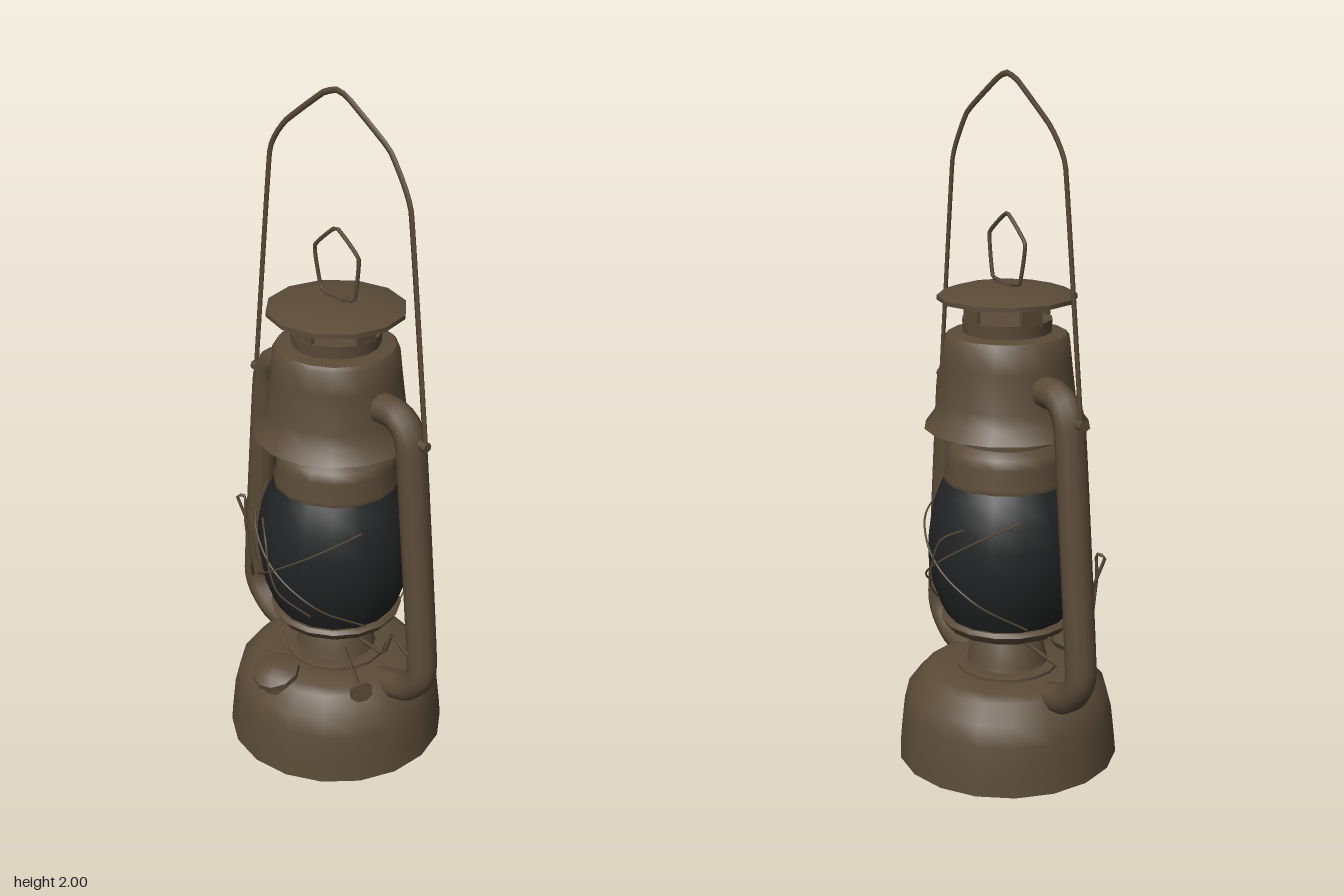
import * as THREE from 'three';
import { toCreasedNormals } from 'three/addons/utils/BufferGeometryUtils.js';

const V = (p) => new THREE.Vector3(...p);

export function createModel() {
  const lantern = new THREE.Group();
  lantern.name = 'lantern';
  const metal = new THREE.MeshStandardMaterial({ color: 0x5b4b38 });
  metal.name = 'aged brown metal';
  const glass = new THREE.MeshStandardMaterial({ color: 0x222324 });
  glass.name = 'smoked glass';

  const add = (name, geometry, material = metal, parent = lantern) => {
    const mesh = new THREE.Mesh(geometry, material);
    mesh.name = name;
    parent.add(mesh);
    return mesh;
  };
  // Turned part from [radius, y] pairs, listed from bottom to top
  const turned = (name, profile, sides = 16, material = metal, parent = lantern) => {
    const lathe = new THREE.LatheGeometry(profile.map(([r, y]) => new THREE.Vector2(r, y)), sides);
    return add(name, toCreasedNormals(lathe, 0.75), material, parent);
  };
  // Bent wire or pipe through points, with fairly tight corners
  const bent = (name, points, radius, { sides = 5, steps = 40, closed = false, tension = 0.15 } = {}) => {
    const path = new THREE.CatmullRomCurve3(points.map(V), closed, 'catmullrom', tension);
    return add(name, new THREE.TubeGeometry(path, steps, radius, sides, closed));
  };

  // Fuel tank with a shallow hollow underneath
  turned('fuelTank', [[0, 0.03], [0.29, 0.015], [0.31, 0], [0.325, 0.005], [0.32, 0.06], [0.31, 0.15],
    [0.295, 0.21], [0.25, 0.26], [0.225, 0.275], [0.15, 0.28], [0, 0.282]], 18);
  turned('burnerRing', [[0.15, 0.27], [0.15, 0.288], [0.12, 0.295], [0.11, 0.29]]);

  // Burner and globe plate
  turned('burnerCone', [[0.125, 0.28], [0.115, 0.31], [0.105, 0.37], [0.09, 0.395], [0.09, 0.42]]);
  turned('globePlate', [[0, 0.405], [0.165, 0.405], [0.18, 0.412], [0.195, 0.435], [0.185, 0.445], [0, 0.445]]);

  // Globe
  turned('globe', [[0.172, 0.435], [0.195, 0.48], [0.22, 0.55], [0.232, 0.63], [0.23, 0.70],
    [0.218, 0.77], [0.195, 0.83], [0.17, 0.875]], 16, glass);

  // Collar and hood
  turned('globeCollar', [[0, 0.855], [0.182, 0.855], [0.184, 0.87], [0.172, 0.90], [0.176, 0.925],
    [0.165, 0.95], [0.14, 0.97], [0.138, 1.04]]);
  turned('hood', [[0.13, 1.03], [0.2, 1.02], [0.238, 1.012], [0.21, 1.05], [0.198, 1.09], [0.185, 1.2],
    [0.178, 1.268], [0.168, 1.28], [0.125, 1.285]]);

  // Chimney with four posts under the cap
  turned('chimney', [[0.125, 1.275], [0.128, 1.322], [0, 1.322]]);
  for (let i = 0; i < 4; i++) {
    const pivot = new THREE.Group();
    pivot.name = 'chimneyPost';
    pivot.rotation.y = i * Math.PI / 2;
    lantern.add(pivot);
    add('postPlate', new THREE.BoxGeometry(0.068, 0.07, 0.012), metal, pivot).position.set(0, 1.347, 0.117);
  }
  turned('chimneyCap', [[0, 1.365], [0.13, 1.366], [0.197, 1.376], [0.197, 1.388], [0.15, 1.404],
    [0.07, 1.413], [0, 1.415]], 12);

  // Lifting ring on the cap
  add('ringTab', new THREE.BoxGeometry(0.075, 0.014, 0.024)).position.y = 1.417;
  bent('liftingRing', [[-0.06, 1.425, 0], [-0.088, 1.54, 0], [0, 1.615, 0], [0.088, 1.55, 0], [0.07, 1.425, 0]],
    0.006, { closed: true });

  // Side air tubes with bail lugs
  for (const s of [-1, 1]) {
    bent(s > 0 ? 'leftAirTube' : 'rightAirTube', [
      [0.14, 1.145], [0.235, 1.147], [0.275, 1.125], [0.3, 1.07], [0.335, 0.72], [0.365, 0.38],
      [0.345, 0.32], [0.295, 0.275], [0.2, 0.245],
    ].map(([x, y]) => [s * x, y, 0]), 0.044, { sides: 10, steps: 48, tension: 0.25 });
    const lug = add('bailLug', new THREE.CylinderGeometry(0.014, 0.014, 0.06, 8));
    lug.rotation.z = Math.PI / 2;
    lug.position.set(s * 0.332, 1.09, 0);
  }

  // Carrying bail, slightly flattened
  const bail = bent('carryingBail', [[-0.352, 1.08, 0], [-0.27, 1.765, 0], [-0.2, 1.865, 0], [-0.05, 1.972, 0],
    [0, 1.99, 0], [0.04, 1.98, 0], [0.2, 1.875, 0], [0.28, 1.735, 0], [0.355, 1.08, 0]], 0.009, { steps: 80 });
  bail.scale.z = 0.6;

  // Crossed guard wires in front of and behind the globe
  for (const z of [-1, 1]) {
    for (const x of [-1, 1]) {
      bent('guardWire', [[-0.205 * x, 0.79, 0.09 * z], [-0.13 * x, 0.73, 0.2 * z], [0, 0.64, 0.243 * z],
        [0.13 * x, 0.55, 0.195 * z], [0.19 * x, 0.46, 0.06 * z]], 0.003, { sides: 4, tension: 0.5 });
    }
    // Short guard loop standing off the glass
    bent('guardLoop', [[-0.09, 0.76, 0.205 * z], [-0.03, 0.72, 0.245 * z], [0, 0.64, 0.257 * z],
      [0.03, 0.57, 0.245 * z], [0.09, 0.5, 0.185 * z]], 0.003, { sides: 4, tension: 0.5 });
  }

  // Globe lifting lever
  bent('lifterRod', [[-0.33, 0.4, -0.05], [-0.15, 0.398, -0.03], [0.12, 0.392, 0.04], [0.26, 0.4, 0.055],
    [0.3, 0.485, 0.06], [0.36, 0.445, 0.055]], 0.006);
  bent('lifterHook', [[-0.32, 0.4, 0.06], [-0.29, 0.47, 0.09], [-0.3, 0.62, 0.1], [-0.31, 0.695, 0.09],
    [-0.335, 0.69, 0.1], [-0.3, 0.58, 0.08], [-0.29, 0.47, 0.07]], 0.005);

  // Wick adjuster: shaft, wheel and thumb tab
  bent('wickShaft', [[0.08, 0.335, 0.05], [0.18, 0.33, 0.105], [0.28, 0.325, 0.16]], 0.007);
  const wheel = add('wickWheel', new THREE.CylinderGeometry(0.034, 0.034, 0.012, 8));
  wheel.position.set(0.28, 0.325, 0.16);
  wheel.quaternion.setFromUnitVectors(V([0, 1, 0]), V([0.2, -0.01, 0.11]).normalize());

  // Filler neck and cap, leaning forward
  const filler = new THREE.Group();
  filler.name = 'filler';
  filler.position.set(0, 0.235, 0.225);
  filler.rotation.x = 0.3;
  lantern.add(filler);
  turned('fillerNeck', [[0.06, -0.03], [0.05, 0.035]], 10, metal, filler);
  turned('fillerCap', [[0, 0.03], [0.055, 0.03], [0.07, 0.045], [0.07, 0.062], [0.045, 0.077], [0, 0.082]],
    10, metal, filler);

  return lantern;
}
